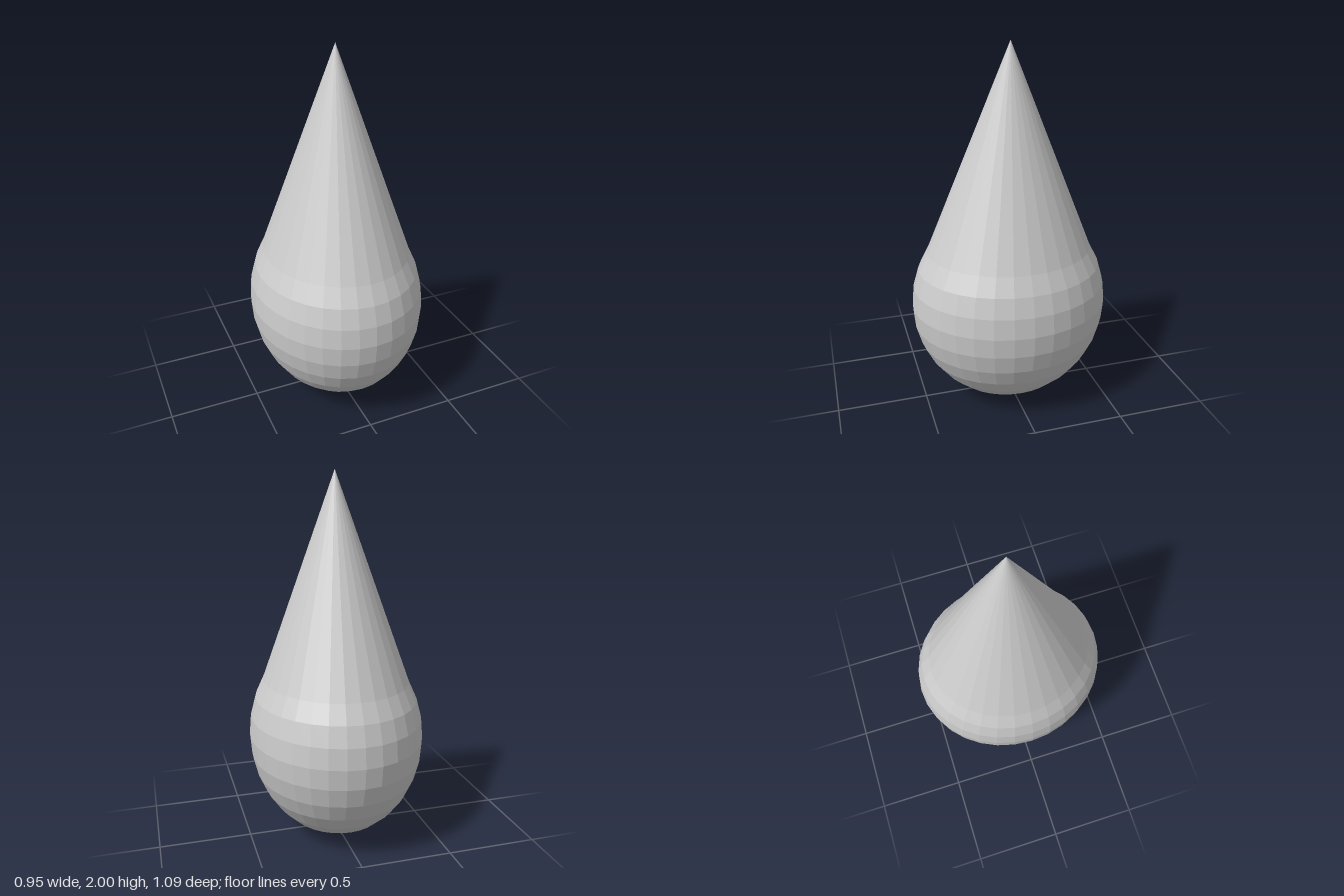
import * as THREE from 'three';

export function createModel() {
  const group = new THREE.Group();
  const material = new THREE.MeshStandardMaterial({ color: 0xcccccc, flatShading: true });
  const centreY = 0.57, radiusX = 0.477, radiusZ = 0.547, tipY = 2;

  // Profile: latitude rings of an egg-shaped bulb, then a straight run to the tip
  const profile = [];
  for (let i = -8; i <= 3; i++) {
    const a = (i * Math.PI) / 16;
    const r = i === -8 ? 0 : Math.cos(a);
    profile.push(new THREE.Vector2(r, centreY + centreY * Math.sin(a)));
  }
  const shoulderY = profile[profile.length - 1].y;
  profile.push(new THREE.Vector2(0, tipY));

  const geometry = new THREE.LatheGeometry(profile, 32);
  geometry.scale(radiusX, 1, radiusZ);

  // The tip leans very slightly off the axis
  const pos = geometry.attributes.position;
  for (let i = 0; i < pos.count; i++) {
    const t = Math.max(0, (pos.getY(i) - shoulderY) / (tipY - shoulderY));
    pos.setX(i, pos.getX(i) + 0.005 * t);
    pos.setZ(i, pos.getZ(i) - 0.008 * t);
  }
  geometry.computeVertexNormals();

  const drop = new THREE.Mesh(geometry, material);
  drop.name = 'teardropBody';
  group.add(drop);
  return group;
}
